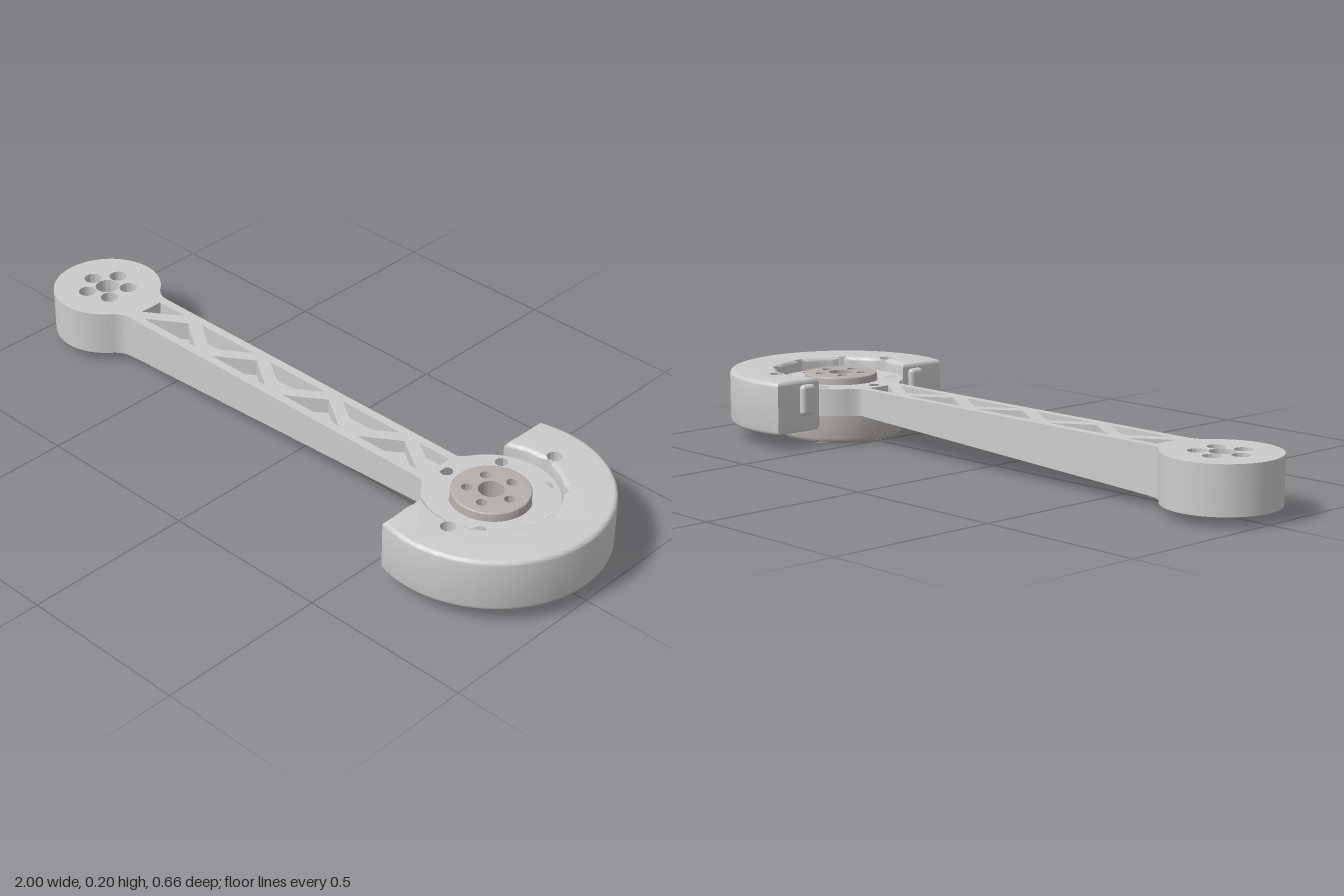
import * as THREE from 'three';
import { toCreasedNormals } from 'three/addons/utils/BufferGeometryUtils.js';
import { RoundedBoxGeometry } from 'three/addons/geometries/RoundedBoxGeometry.js';

const HUB = 0.668, BOSS = -0.84, TOP = 0.165;
const grey = new THREE.MeshStandardMaterial({ color: 0xcccccc });
const motorGrey = new THREE.MeshStandardMaterial({ color: 0xb5afaa });

// n bolt holes on a circle: [x, y, radius]
const boltCircle = (cx, dist, r, n, start = 0, step = Math.PI * 2 / n) =>
  Array.from({ length: n }, (_, i) => [
    cx + dist * Math.cos(start + i * step), dist * Math.sin(start + i * step), r]);

const disc = (cx, r) => new THREE.Shape().absarc(cx, 0, r, 0, Math.PI * 2);

// Horizontal plate between two heights; bolt holes stay straight through a rounded edge
function plate(shape, holes, y0, y1, bevel = 0) {
  for (const [x, y, r] of holes) {
    shape.holes.push(new THREE.Path().absarc(x, y, r, 0, Math.PI * 2, true));
  }
  const geo = new THREE.ExtrudeGeometry(shape, {
    depth: y1 - y0 - 2 * bevel, curveSegments: 36, bevelEnabled: bevel > 0,
    bevelSize: bevel, bevelThickness: bevel, bevelOffset: -bevel, bevelSegments: 4,
  });
  geo.translate(0, 0, y0 + bevel);
  if (bevel) {
    const p = geo.attributes.position;
    for (let i = 0; i < p.count; i++) {
      for (const [x, y, r] of holes) {
        const dx = p.getX(i) - x, dy = p.getY(i) - y, d = Math.hypot(dx, dy);
        if (r < 0.05 && d < r + bevel * 1.1) p.setXY(i, x + dx / d * r, y + dy / d * r);
      }
    }
  }
  geo.rotateX(-Math.PI / 2);
  return toCreasedNormals(geo, 0.5);
}

// Round end with a filleted neck running into the beam; dir is the side of the neck
function keyhole(cx, R, phi, neck, w, dir) {
  const t = (R * Math.sin(phi) - w) / Math.cos(phi);
  const ctrl = R * Math.cos(phi) + t * Math.sin(phi);
  const s = new THREE.Shape();
  s.moveTo(cx + dir * neck, -w);
  s.lineTo(cx + dir * neck, w);
  s.quadraticCurveTo(cx + dir * ctrl, w, cx + dir * R * Math.cos(phi), R * Math.sin(phi));
  for (let i = 1; i <= 64; i++) {
    const a = phi + (Math.PI * 2 - 2 * phi) * i / 64;
    s.lineTo(cx + dir * R * Math.cos(a), R * Math.sin(a));
  }
  s.quadraticCurveTo(cx + dir * ctrl, -w, cx + dir * neck, -w);
  return s;
}

// Fits a plate of height 0..1 between the sloping underside and the flat top
function taper(geo) {
  const p = geo.attributes.position;
  for (let i = 0; i < p.count; i++) {
    const bottom = 0.03 + (p.getX(i) + 0.68) * 0.055 / 1.18;
    p.setY(i, bottom + p.getY(i) * (TOP - bottom));
  }
  return toCreasedNormals(geo, 0.5);
}

function polygon(pts) {
  return new THREE.Shape(pts.map(([x, y]) => new THREE.Vector2(x, y)));
}

// Rectangle with triangular openings left between zigzag ribs
function trussShape() {
  const shape = polygon([[-0.68, -0.073], [0.5, -0.073], [0.5, 0.073], [-0.68, 0.073]]);
  const x0 = -0.658, x1 = 0.482, h = 0.047, n = 4, step = (x1 - x0) / n, gap = 0.034;
  for (let i = 0; i < n; i++) {
    const a = x0 + i * step;
    shape.holes.push(polygon([[a + gap, -h], [a + step - gap, -h], [a + step / 2, h - 0.022]]));
  }
  for (let i = 0; i <= n; i++) {
    const a = x0 + i * step;
    const l = Math.max(x0, a - step / 2 + gap), r = Math.min(x1, a + step / 2 - gap);
    shape.holes.push(polygon([[l, h], [a, -h + 0.022], [r, h]]));
  }
  return shape;
}

// Half-ring block cut flat on the beam side
function weightShape() {
  const R = 0.33, r = 0.19, cut = 0.572 - HUB;
  const a = Math.acos(cut / R), b = Math.acos(cut / r);
  const s = new THREE.Shape();
  s.absarc(HUB, 0, R, -a, a, false);
  s.absarc(HUB, 0, r, b, -b, true);
  s.closePath();
  return s;
}

export function createModel() {
  const model = new THREE.Group();
  model.name = 'actuatorArm';
  const add = (name, geo, mat = grey) => {
    const m = new THREE.Mesh(geo, mat);
    m.name = name;
    model.add(m);
    return m;
  };

  // Small end boss with counterbored bolt holes
  const bossShape = () => keyhole(BOSS, 0.16, 0.7, 0.182, 0.073, 1);
  const bossHoles = r => [[BOSS, 0, 0.035], ...boltCircle(BOSS, 0.064, r, 5, Math.PI)];
  add('bossLower', plate(bossShape(), bossHoles(0.014), 0.03, 0.1));
  add('bossUpper', plate(bossShape(), bossHoles(0.026), 0.1, TOP));

  // Tapering truss beam with a thin web at mid height
  add('trussBeam', taper(plate(trussShape(), [], 0, 1)));
  add('beamWeb', taper(plate(
    polygon([[-0.67, -0.06], [0.49, -0.06], [0.49, 0.06], [-0.67, 0.06]]), [], 0.42, 0.56)));

  // Hub ring at the motor end
  const hubShape = () => keyhole(HUB, 0.185, 0.6, 0.185, 0.073, -1);
  const hubHoles = r => [[HUB, 0, 0.114], ...boltCircle(HUB, 0.155, r, 6)];
  add('hubLower', plate(hubShape(), hubHoles(0.01), 0.085, 0.13));
  add('hubUpper', plate(hubShape(), hubHoles(0.018), 0.13, TOP));

  // Motor housing below and rotor through its centre
  add('motorHousing', plate(disc(HUB, 0.18),
    [[HUB, 0, 0.112], ...boltCircle(HUB, 0.15, 0.01, 6)], 0, 0.11, 0.016), motorGrey);
  const rotorHoles = () => [[HUB, 0, 0.035], ...boltCircle(HUB, 0.064, 0.015, 5)];
  add('rotorBase', plate(disc(HUB, 0.116), rotorHoles(), 0.02, 0.08), motorGrey);
  add('rotor', plate(disc(HUB, 0.108), rotorHoles(), 0.08, 0.186, 0.004), motorGrey);

  // Counterweight with five through holes
  const step = Math.PI * 2 / 9;
  add('counterweight', plate(weightShape(),
    boltCircle(HUB, 0.217, 0.021, 5, -2 * step, step), 0.045, 0.2, 0.012));

  // Clamp pads on the flat ends of the counterweight
  for (const side of [-1, 1]) {
    add('clampPad', new RoundedBoxGeometry(0.04, 0.09, 0.05, 3, 0.012))
      .position.set(0.576, 0.14, side * 0.21);
  }
  return model;
}
